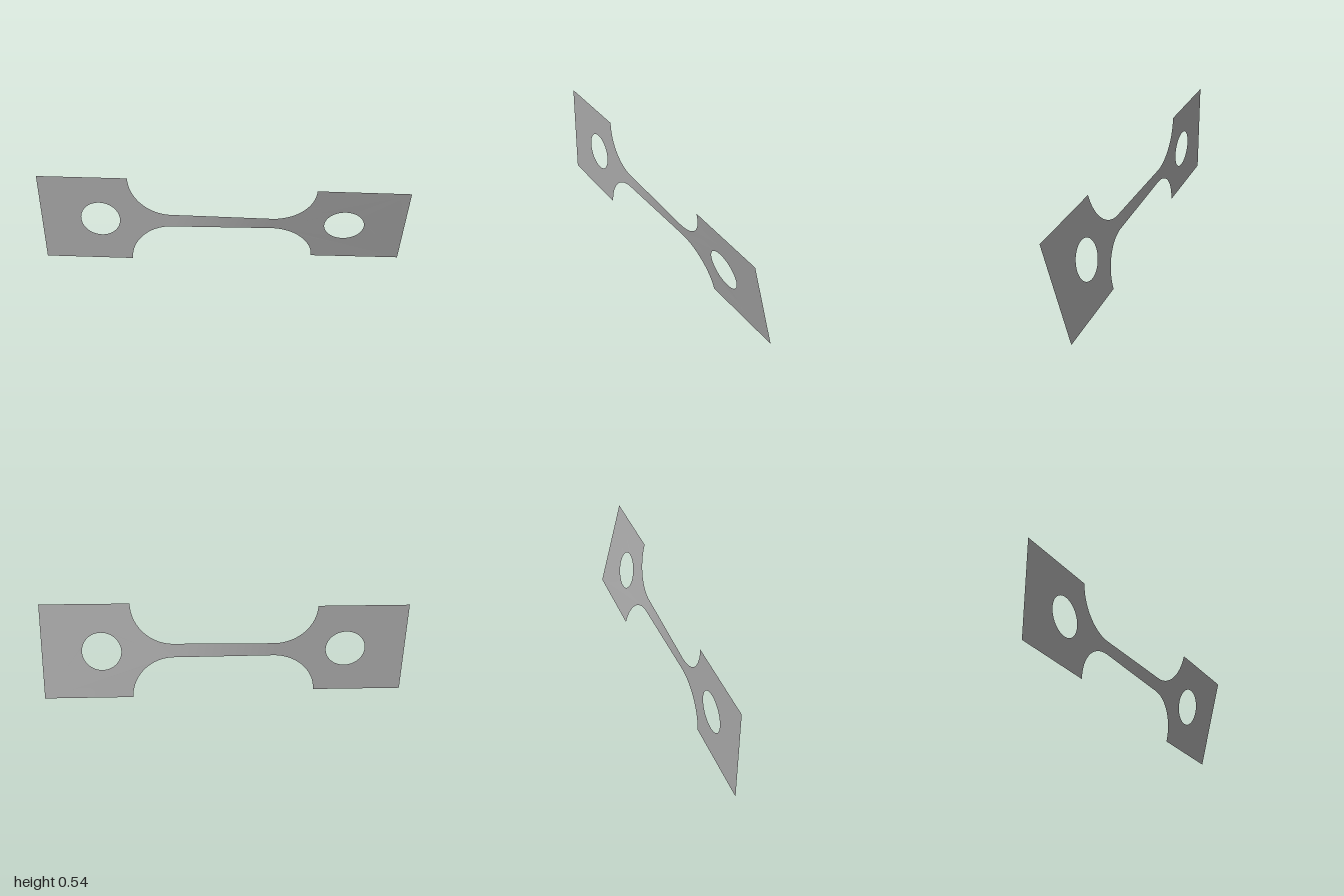
import * as THREE from 'three';

const MID = 0.272;       // height of the long axis
const HALF = 0.271;      // half height of the end tabs
const NECK = 0.039;      // half height of the neck
const NECK_END = 0.275;  // where the neck meets the fillets
const TAB_IN = 0.508;    // inner edge of the tabs

// Twist about the long axis: none at the right tab, growing along the neck to the left tab
function twistAngle(x) {
  const deg = x < NECK_END
    ? 13.5 * THREE.MathUtils.clamp((x + NECK_END) / (2 * NECK_END), 0, 1)
    : 13.5 + 0.9 * (x - NECK_END) / (1 - NECK_END);
  return THREE.MathUtils.degToRad(deg);
}

function twist(geometry) {
  const p = geometry.attributes.position;
  for (let i = 0; i < p.count; i++) {
    const x = p.getX(i), y = p.getY(i), a = twistAngle(x);
    p.setXYZ(i, x, MID + y * Math.cos(a), y * Math.sin(a));
  }
  geometry.computeVertexNormals();
  return geometry;
}

// End tab with two concave fillets and a round hole; side is +1 or -1
function tabGeometry(side) {
  const pts = [new THREE.Vector2(side, -HALF)];
  const n = 24, rx = TAB_IN - NECK_END, ry = HALF - NECK;
  const fillet = (t, ySign) => new THREE.Vector2(
    side * (NECK_END + rx * Math.sin(t)), ySign * (HALF - ry * Math.cos(t)));
  for (let i = n; i >= 0; i--) pts.push(fillet(i / n * Math.PI / 2, -1));
  for (let i = 0; i <= n; i++) pts.push(fillet(i / n * Math.PI / 2, 1));
  pts.push(new THREE.Vector2(side, HALF));
  const shape = new THREE.Shape(pts);
  shape.holes.push(new THREE.Path().absarc(side * 0.672, 0, 0.108, 0, Math.PI * 2, true));
  return twist(new THREE.ShapeGeometry(shape, 32));
}

export function createModel() {
  const group = new THREE.Group();
  const metal = new THREE.MeshStandardMaterial({ color: 0xa8a8a8, side: THREE.DoubleSide });
  metal.name = 'grey metal';

  const add = (name, geometry) => {
    const mesh = new THREE.Mesh(geometry, metal);
    mesh.name = name;
    group.add(mesh);
  };

  add('leftTab', tabGeometry(1));
  add('rightTab', tabGeometry(-1));
  add('twistedNeck', twist(new THREE.PlaneGeometry(2 * NECK_END, 2 * NECK, 32, 2)));
  return group;
}
